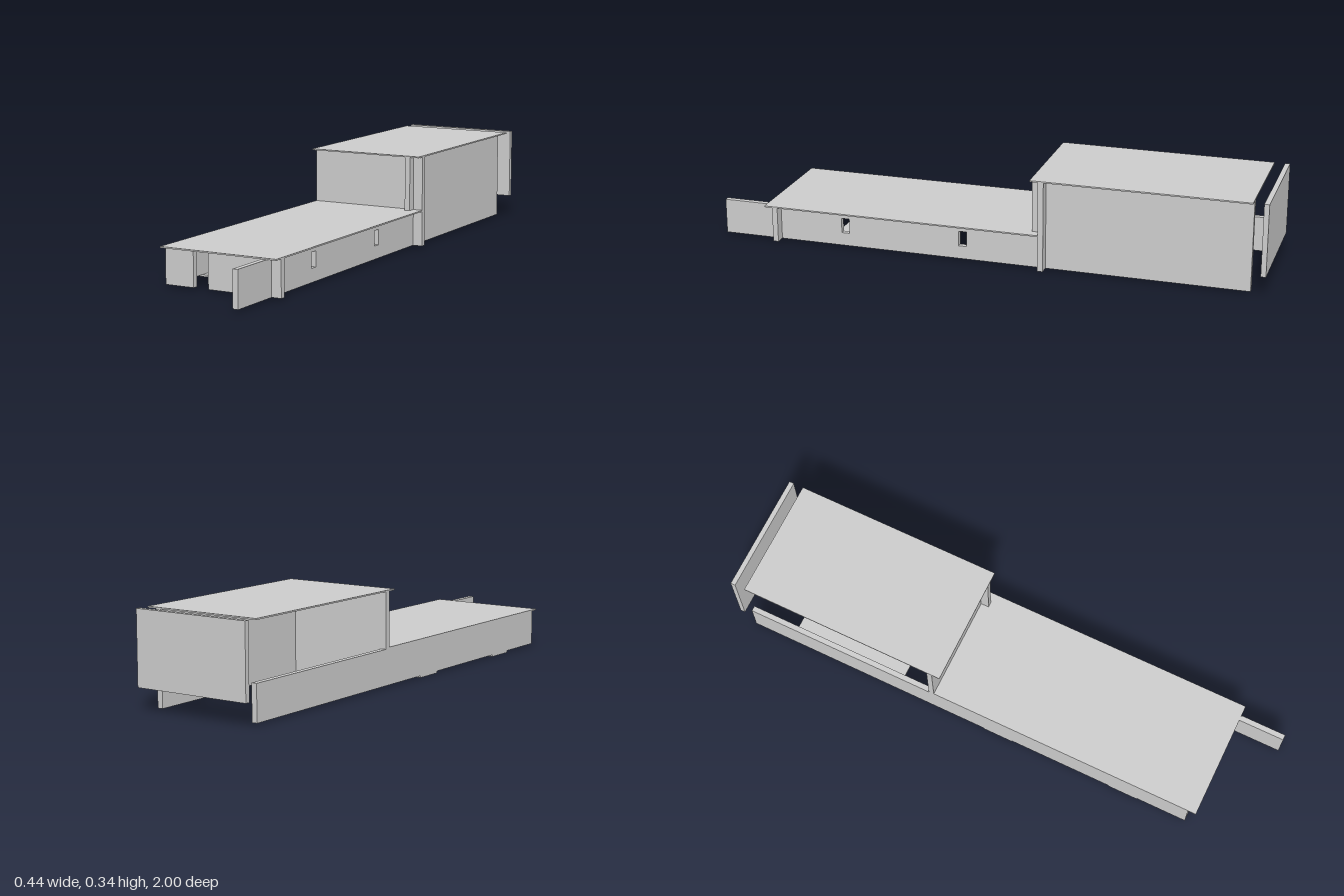
import * as THREE from 'three';

const material = new THREE.MeshStandardMaterial({ color: 0xcccccc });

export function createModel() {
  const model = new THREE.Group();
  model.name = 'house';

  // Box given by its limits on each axis
  const slab = (name, [x0, x1], [y0, y1], [z0, z1]) => {
    const mesh = new THREE.Mesh(new THREE.BoxGeometry(x1 - x0, y1 - y0, z1 - z0), material);
    mesh.position.set((x0 + x1) / 2, (y0 + y1) / 2, (z0 + z1) / 2);
    mesh.name = name;
    model.add(mesh);
  };

  const half = 0.222, floor = 0.007, low = 0.135, high = 0.335, roof = 0.005;
  const rightWall = [0.166, 0.186], leftWall = [-half, -half + 0.02];

  // Roofs
  slab('lowRoof', [-half, half], [low, low + roof], [-0.2, 0.83]);
  slab('highRoof', [-half, half], [high, high + roof], [-0.945, -0.17]);

  // Long low wall with two upright windows, running out past the roof
  const outline = (a, b, y0, y1, Type) => {
    const s = new Type();
    s.moveTo(a, y0).lineTo(b, y0).lineTo(b, y1).lineTo(a, y1).closePath();
    return s;
  };
  const wallShape = outline(-1, 0.17, floor, low, THREE.Shape);
  for (const z of [0.53, 0.085]) {
    wallShape.holes.push(outline(-z - 0.015, -z + 0.015, 0.055, 0.11, THREE.Path));
  }
  const wall = new THREE.ExtrudeGeometry(wallShape, { depth: 0.02, bevelEnabled: false });
  wall.rotateY(Math.PI / 2);
  const windowWall = new THREE.Mesh(wall, material);
  windowWall.position.x = rightWall[0];
  windowWall.name = 'windowWall';
  model.add(windowWall);

  // Other long walls
  slab('highSideWall', rightWall, [floor, high], [-0.945, -0.17]);
  slab('lowSideWall', leftWall, [floor, low], [-0.2, 0.8]);
  slab('rearParapet', leftWall, [floor, low], [-0.945, -0.22]);

  // Front wall in two pieces around the doorway, and the tall cross wall
  slab('frontWallBesideDoor', [-half, -0.112], [floor, low], [0.78, 0.8]);
  slab('frontWallMain', [-0.055, half], [floor, low], [0.78, 0.8]);
  slab('crossWall', [-half, half], [floor, high], [-0.22, -0.2]);

  // Freestanding screen behind the house
  slab('rearScreen', [-half, half], [0.08, high + roof], [-1, -0.982]);

  // Shelf along the rear parapet
  slab('shelf', [-half + 0.02, -0.11], [0.058, 0.065], [-0.78, -0.34]);

  // Foundation strips
  for (const z of [0.555, 0.055]) {
    slab('foundationStrip', [-half, 0.054], [0, floor], [z - 0.055, z + 0.055]);
  }

  return model;
}
